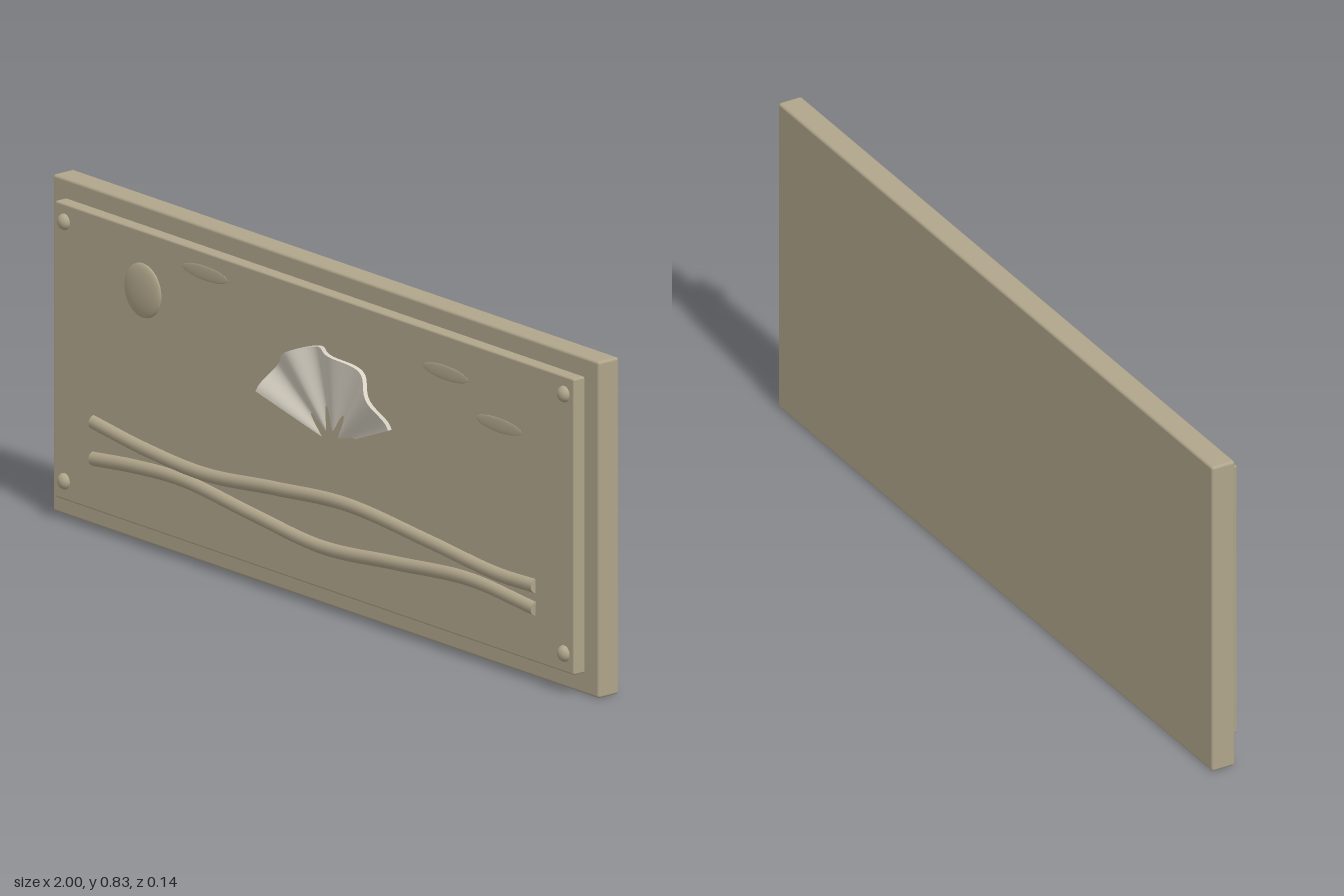
import * as THREE from 'three';
import { RoundedBoxGeometry } from 'three/addons/geometries/RoundedBoxGeometry.js';

const mat = (name, color) => {
  const m = new THREE.MeshStandardMaterial({ color });
  m.name = name;
  return m;
};

const FACE = 0.028; // z of the raised panel's front

// Pleated fan: a wavy sheet with thickness, lifting off the panel towards its rim
function fanGeometry() {
  const A = 84, R = 16, a0 = 158, a1 = 22, r0 = 0.012, r1 = 0.241, thick = 0.012;
  const pos = [], idx = [];
  const point = (i, j, back) => {
    const deg = a0 + (a1 - a0) * i / A, a = THREE.MathUtils.degToRad(deg);
    const r = r0 + (r1 - r0) * j / R, t = r / r1;
    const wave = Math.cos((i / A) * 3.5 * Math.PI * 2);
    return [r * Math.cos(a), r * Math.sin(a), 0.02 + t * (0.036 + 0.016 * wave) - (back ? thick : 0)];
  };
  // Adds a grid of quads; each patch keeps its own vertices so the edges stay sharp
  const patch = (nu, nv, fn, flip) => {
    const base = pos.length / 3, w = nv + 1;
    for (let u = 0; u <= nu; u++) for (let v = 0; v <= nv; v++) pos.push(...fn(u, v));
    for (let u = 0; u < nu; u++) for (let v = 0; v < nv; v++) {
      const a = base + u * w + v, b = a + w, c = b + 1, d = a + 1;
      if (flip) idx.push(a, d, b, b, d, c);
      else idx.push(a, b, d, b, c, d);
    }
  };
  patch(A, R, (i, j) => point(i, j, false), false);
  patch(A, R, (i, j) => point(i, j, true), true);
  patch(A, 1, (i, k) => point(i, R, k === 1), false);
  patch(R, 1, (j, k) => point(0, j, k === 1), false);
  patch(R, 1, (j, k) => point(A, j, k === 1), true);
  const g = new THREE.BufferGeometry();
  g.setAttribute('position', new THREE.Float32BufferAttribute(pos, 3));
  g.setIndex(idx);
  g.computeVertexNormals();
  return g;
}

export function createModel() {
  const root = new THREE.Group();
  root.name = 'reliefPlaque';
  const wood = mat('tan wood', 0xb0a58b);
  const ivory = mat('pale ivory', 0xd8d2c4);
  ivory.side = THREE.DoubleSide;

  const add = (name, geometry, material, x, y, z) => {
    const m = new THREE.Mesh(geometry, material);
    m.name = name;
    m.position.set(x, y, z);
    root.add(m);
    return m;
  };

  // Backboard and raised panel
  add('backboard', new RoundedBoxGeometry(2, 0.832, 0.064, 3, 0.007), wood, 0, 0.416, -0.039);
  add('panel', new RoundedBoxGeometry(1.9, 0.732, 0.036, 3, 0.005), wood, 0, 0.419, 0.01);

  // Corner studs
  for (const x of [-0.915, 0.915]) for (const y of [0.1, 0.741]) {
    add('stud', new THREE.SphereGeometry(0.02, 24, 16), wood, x, y, FACE).scale.z = 0.8;
  }

  // Sun: a shallow dome
  add('sun', new THREE.SphereGeometry(0.067, 48, 24), wood, -0.627, 0.638, FACE).scale.z = 0.19;

  // Clouds: very low ovals
  for (const [x, y] of [[-0.4, 0.733], [0.48, 0.692], [0.675, 0.608]]) {
    add('cloud', new THREE.SphereGeometry(1, 32, 16), wood, x, y, FACE).scale.set(0.082, 0.018, 0.002);
  }

  // Two flowing water ribs with capped ends
  const ribs = {
    upperWave: [[-0.81, 0.271], [-0.62, 0.248], [-0.4, 0.237], [-0.14, 0.262], [0.12, 0.283],
      [0.42, 0.262], [0.67, 0.24], [0.81, 0.242]],
    lowerWave: [[-0.81, 0.18], [-0.65, 0.197], [-0.48, 0.204], [-0.22, 0.178], [0.03, 0.157],
      [0.3, 0.18], [0.57, 0.203], [0.81, 0.186]],
  };
  for (const [name, pts] of Object.entries(ribs)) {
    const curve = new THREE.CatmullRomCurve3(pts.map(([x, y]) => new THREE.Vector3(x, y, 0.025)));
    add(name, new THREE.TubeGeometry(curve, 96, 0.018, 16), wood, 0, 0, 0);
    for (const t of [0, 1]) {
      const dir = curve.getTangent(t).multiplyScalar(t ? 1 : -1);
      const p = curve.getPoint(t);
      add(name + 'End', new THREE.CircleGeometry(0.018, 16), wood, p.x, p.y, p.z)
        .quaternion.setFromUnitVectors(new THREE.Vector3(0, 0, 1), dir);
    }
  }

  // Fan
  add('fan', fanGeometry(), ivory, 0.06, 0.415, 0);
  return root;
}
